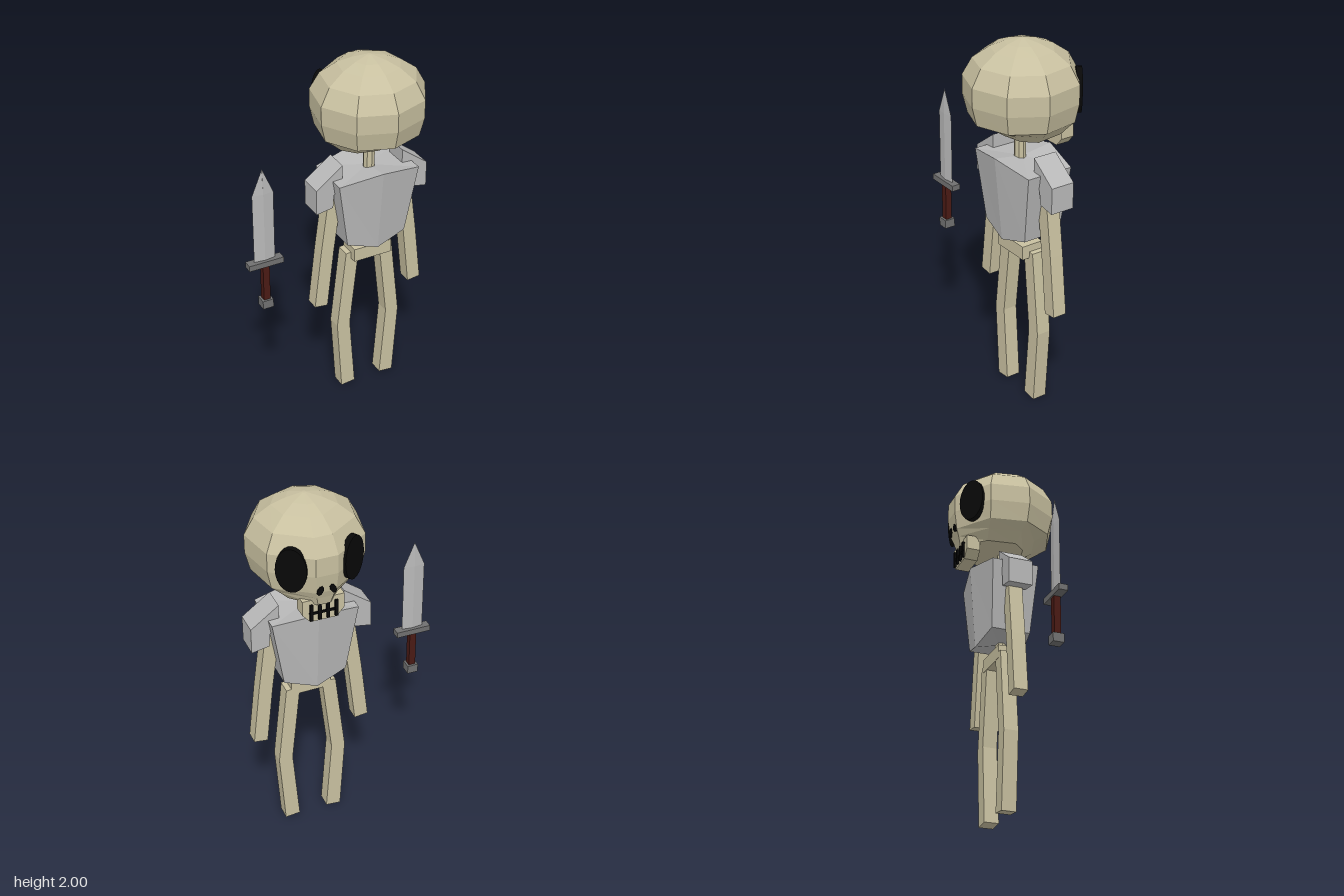
import * as THREE from 'three';

const material = (color) => new THREE.MeshStandardMaterial({ color, flatShading: true, roughness: 1 });

export function createModel() {
  const model = new THREE.Group();
  model.name = 'skeletonWithSword';
  const bone = material(0xc8c0a0), armour = material(0xb8b8b8), steel = material(0xb8b8b8);
  const iron = material(0x707070), grip = material(0x4a1a14), black = material(0x080808);

  const body = new THREE.Group();
  body.name = 'skeleton';
  body.position.x = 0.2;
  const sword = new THREE.Group();
  sword.name = 'sword';
  sword.position.set(-0.425, 0, 0.052);
  model.add(body, sword);

  function add(parent, name, geometry, mat, x = 0, y = 0, z = 0) {
    const mesh = new THREE.Mesh(geometry, mat);
    mesh.name = name;
    mesh.position.set(x, y, z);
    parent.add(mesh);
    return mesh;
  }
  // Box given by its width, its y range and its z range
  function box(parent, name, mat, w, y0, y1, z0, z1, x = 0) {
    return add(parent, name, new THREE.BoxGeometry(w, y1 - y0, z1 - z0), mat, x, (y0 + y1) / 2, (z0 + z1) / 2);
  }
  // Outline in x and y, extruded from z0 to z1; side -1 mirrors it in x
  function slab(parent, name, mat, points, z0, z1, side = 1) {
    const shape = new THREE.Shape(points.map(([x, y]) => new THREE.Vector2(x * side, y)));
    const geometry = new THREE.ExtrudeGeometry(shape, { depth: z1 - z0, bevelEnabled: false });
    return add(parent, name, geometry, mat, 0, 0, z0);
  }
  // Closed solid from rings listed top down, each counterclockwise seen from above
  function loft(rings) {
    const n = rings[0].length, pos = [], index = [];
    rings.forEach((ring) => ring.forEach((p) => pos.push(...p)));
    for (let r = 0; r < rings.length - 1; r++) {
      for (let i = 0; i < n; i++) {
        const a = r * n + i, b = r * n + (i + 1) % n;
        index.push(a, a + n, b + n, a, b + n, b);
      }
    }
    // Caps fan around the average of the end ring
    [[0, 1], [rings.length - 1, -1]].forEach(([r, up]) => {
      const c = pos.length / 3;
      for (let k = 0; k < 3; k++) pos.push(rings[r].reduce((s, p) => s + p[k], 0) / n);
      for (let i = 0; i < n; i++) {
        const a = r * n + i, b = r * n + (i + 1) % n;
        if (up > 0) index.push(c, a, b);
        else index.push(c, b, a);
      }
    });
    const geometry = new THREE.BufferGeometry();
    geometry.setAttribute('position', new THREE.Float32BufferAttribute(pos, 3));
    geometry.setIndex(index);
    geometry.computeVertexNormals();
    return geometry;
  }

  // Skull: nine-sided rings of height, half width, back depth, face depth
  const angles = [0, 40, 80, 122, 169, 191, 238, 280, 320].map(THREE.MathUtils.degToRad);
  const skullRings = [
    [2.0, 0.01, 0.01, 0.01], [1.98, 0.09, 0.09, 0.09], [1.95, 0.165, 0.16, 0.165],
    [1.89, 0.25, 0.245, 0.25], [1.8, 0.3, 0.295, 0.3], [1.7, 0.3, 0.295, 0.3],
    [1.6, 0.275, 0.27, 0.285], [1.56, 0.225, 0.18, 0.27], [1.51, 0.17, 0.11, 0.255],
  ].map(([y, w, back, face]) => angles.map((a) =>
    [Math.sin(a) * w, y, Math.cos(a) * (Math.cos(a) > 0 ? back : face)]));
  add(body, 'skull', loft(skullRings), bone);

  // Jaw and dark gaps between the teeth
  slab(body, 'jaw', bone, [[-0.11, 1.54], [-0.11, 1.46], [-0.07, 1.415], [0.07, 1.415], [0.11, 1.46], [0.11, 1.54]],
    -0.24, -0.165);
  for (const x of [-0.066, -0.022, 0.022, 0.066]) {
    box(body, 'toothGap', black, 0.016, 1.425, 1.515, -0.252, -0.215, x);
  }
  box(body, 'mouthLine', black, 0.15, 1.458, 1.47, -0.248, -0.22);

  // Neck and lower spine
  add(body, 'neck', new THREE.CylinderGeometry(0.031, 0.031, 0.2, 8), bone, 0, 1.46, 0.01);
  add(body, 'spine', new THREE.CylinderGeometry(0.031, 0.031, 0.16, 8), bone, 0, 0.94, 0);

  // Six-sided breastplate with a ridge down the chest and the back
  const torsoRing = (w, yMid, ySide, back, backSide, face, faceSide) => [
    [0, yMid, back], [w, ySide, backSide], [w, ySide, faceSide],
    [0, yMid, face], [-w, ySide, faceSide], [-w, ySide, backSide]];
  add(body, 'breastplate', loft([
    torsoRing(0.232, 1.4, 1.362, 0.165, 0.125, -0.18, -0.135),
    torsoRing(0.17, 0.935, 0.985, 0.12, 0.1, -0.145, -0.115),
  ]), armour);

  box(body, 'pelvis', bone, 0.22, 0.845, 0.92, -0.055, 0.068);

  for (const side of [1, -1]) {
    const label = side > 0 ? 'left' : 'right';
    // Eye socket lying on the slanted cheek
    const disc = new THREE.CylinderGeometry(1, 1, 0.03, 24).rotateX(Math.PI / 2).scale(0.078, 0.12, 1);
    const eye = add(body, label + 'EyeSocket', disc, black, side * 0.156, 1.73, -0.227);
    eye.rotation.y = -side * 0.575;
    // Nostril
    const hole = new THREE.CylinderGeometry(1, 1, 0.03, 8).rotateX(Math.PI / 2).scale(0.016, 0.027, 1);
    const nostril = add(body, label + 'Nostril', hole, black, side * 0.033, 1.615, -0.274);
    nostril.rotation.z = side * 0.4;
    // Bent shoulder plate
    slab(body, label + 'ShoulderPlate', armour,
      [[0.175, 1.44], [0.325, 1.33], [0.325, 1.19], [0.23, 1.207], [0.225, 1.28], [0.175, 1.32]], -0.08, 0.052, side);
    // Limbs, each bent at the middle
    slab(body, label + 'Arm', bone,
      [[0.235, 1.3], [0.287, 0.92], [0.325, 0.592], [0.25, 0.583], [0.212, 0.92], [0.16, 1.3]], -0.052, 0.025, side);
    slab(body, label + 'Leg', bone,
      [[0.138, 0.878], [0.19, 0.42], [0.162, 0], [0.08, 0.008], [0.113, 0.425], [0.062, 0.885]], -0.054, 0.026, side);
  }

  // Sword: flat diamond blade running up to a point
  const bladeRing = (w, t, y) => [[0, y, t], [w, y, 0], [0, y, -t], [-w, y, 0]];
  add(sword, 'blade', loft([bladeRing(0.001, 0.001, 1.54), bladeRing(0.059, 0.008, 1.4), bladeRing(0.059, 0.008, 1.0)]), steel);
  box(sword, 'guard', iron, 0.193, 0.98, 1.012, -0.025, 0.025);
  box(sword, 'handle', grip, 0.037, 0.765, 0.985, -0.018, 0.018);
  box(sword, 'pommel', iron, 0.06, 0.727, 0.775, -0.03, 0.03);

  return model;
}
